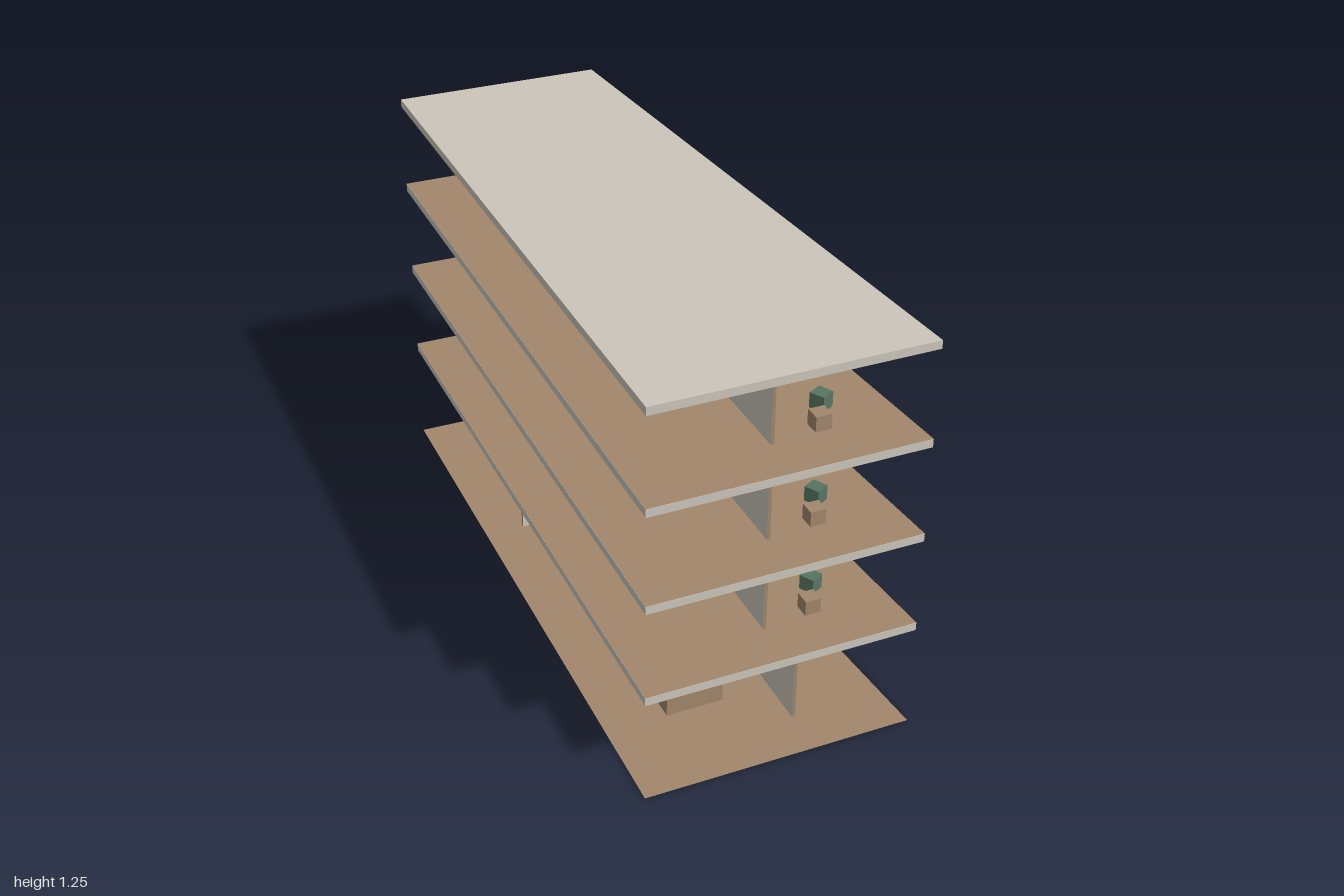
import * as THREE from 'three';

const mat = (name, color, side = THREE.FrontSide) => {
  const m = new THREE.MeshStandardMaterial({ color, side });
  m.name = name;
  return m;
};

export function createModel() {
  const root = new THREE.Group();
  root.name = 'building';
  const concrete = mat('concrete', 0xcbc5bb);
  const wood = mat('wood', 0xa1866a);
  const woodSheet = mat('woodSheet', 0xa1866a, THREE.DoubleSide);
  const green = mat('greenFabric', 0x587463);
  const charcoal = mat('charcoal', 0x45454a);
  const black = mat('blackMetal', 0x202024);

  const add = (name, geometry, material, parent = root) => {
    const mesh = new THREE.Mesh(geometry, material);
    mesh.name = name;
    parent.add(mesh);
    return mesh;
  };
  // Box given by its min and max along each axis
  const box = (name, x0, x1, y0, y1, z0, z1, material, parent) => {
    const mesh = add(name, new THREE.BoxGeometry(x1 - x0, y1 - y0, z1 - z0), material, parent);
    mesh.position.set((x0 + x1) / 2, (y0 + y1) / 2, (z0 + z1) / 2);
    return mesh;
  };
  const group = (name) => {
    const g = new THREE.Group();
    g.name = name;
    root.add(g);
    return g;
  };

  // Tapered floor outline in (x, z), optionally with the stairwell cut out
  const points = (list) => list.map(([x, z]) => new THREE.Vector2(x, -z));
  const outline = (stairwell) => {
    const s = new THREE.Shape(points([[-0.405, 1], [0.405, 1], [0.26, -0.995], [-0.39, -1]]));
    if (stairwell) {
      s.holes.push(new THREE.Path(points([[0.025, -0.47], [0.025, -0.865], [0.25, -0.865], [0.277, -0.47]])));
    }
    return s;
  };
  const sheet = (name, y, stairwell, parent) => {
    const g = new THREE.ShapeGeometry(outline(stairwell)).rotateX(-Math.PI / 2);
    add(name, g, woodSheet, parent).position.y = y;
  };
  const slab = (name, top, stairwell, parent) => {
    const g = new THREE.ExtrudeGeometry(outline(stairwell), { depth: 0.025, bevelEnabled: false });
    add(name, g.rotateX(-Math.PI / 2), concrete, parent).position.y = top - 0.025;
  };

  // Wall with door notches at its base; wooden edges all round
  const wall = (name, axis, a0, a1, at, y0, y1, doors, parent) => {
    const t = 0.01;
    const s = new THREE.Shape();
    s.moveTo(a0, y0);
    for (const [d0, d1] of doors) {
      s.lineTo(d0, y0);
      s.lineTo(d0, y0 + 0.215);
      s.lineTo(d1, y0 + 0.215);
      s.lineTo(d1, y0);
    }
    s.lineTo(a1, y0);
    s.lineTo(a1, y1);
    s.lineTo(a0, y1);
    const g = new THREE.ExtrudeGeometry(s, { depth: t, bevelEnabled: false });
    g.translate(0, 0, -t / 2);
    if (axis === 'z') g.rotateY(-Math.PI / 2);
    const mesh = add(name, g, [concrete, wood], parent);
    if (axis === 'z') mesh.position.x = at;
    else mesh.position.z = at;
  };

  // Two flights with a half landing and handrail pieces
  const stairs = (y0, y1) => {
    const g = group('stairs');
    const mid = y0 + (y0 === 0 ? 0.17 : 0.15);
    const n = 10, zNear = -0.49, zFar = -0.73;
    box('landing', 0.03, 0.262, mid - 0.015, mid, -0.86, -0.72, wood, g);
    const run = (zFar - zNear) / n;
    for (let i = 0; i < n; i++) {
      const z = zNear + run * (i + 0.5);
      const low = y0 + ((mid - y0) * (i + 1)) / n;
      const high = mid + ((y1 - mid) * (n - i)) / n - 0.008;
      box('lowerStep', 0.155, 0.24, low - 0.017, low, z - 0.016, z + 0.016, wood, g);
      box('upperStep', 0.045, 0.135, high - 0.017, high, z - 0.016, z + 0.016, wood, g);
      if (i % 3 === 0) {
        box('lowerHandrail', 0.148, 0.154, low + 0.085, low + 0.09, z - 0.02, z + 0.02, black, g);
        box('upperHandrail', 0.136, 0.142, high + 0.085, high + 0.09, z - 0.02, z + 0.02, black, g);
      }
    }
  };

  // Ground floor
  const ground = group('groundFloor');
  sheet('groundSheet', 0.0008, false, ground);
  wall('longWall', 'z', -0.455, 0.86, 0.115, 0, 0.325, [], ground);
  wall('lobbyWall', 'x', -0.27, 0.01, -0.32, 0, 0.325, [[-0.235, -0.14]], ground);
  wall('stairWall', 'x', 0.02, 0.27, -0.46, 0, 0.325, [[0.145, 0.24]], ground);
  box('receptionDesk', -0.215, -0.04, 0, 0.09, 0.655, 0.715, wood, ground);
  for (const z of [0.494, 0.168, -0.157]) {
    box('lobbyBlock', -0.145, -0.085, 0, 0.147, z - 0.08, z + 0.08, concrete, ground);
  }
  box('woodStool', -0.145, -0.095, 0, 0.045, -0.84, -0.785, wood, ground);
  box('darkStool', -0.235, -0.185, 0, 0.045, -0.84, -0.785, charcoal, ground);
  stairs(0, 0.35);

  // Three identical upper floors with two rooms each
  for (const y of [0.35, 0.65, 0.95]) {
    const g = group('upperFloor');
    const top = y + (y === 0.95 ? 0.27 : 0.275);
    slab('floorSlab', y, true, g);
    sheet('floorBoards', y + 0.001, true, g);
    wall('corridorWall', 'z', -0.315, 0.86, 0.01, y, top, [[-0.28, -0.185], [0.31, 0.405]], g);
    wall('roomDivider', 'x', 0.015, 0.27, 0.275, y, top, [], g);
    wall('rearRoomWall', 'x', 0.015, 0.27, -0.315, y, top, [], g);
    wall('stairWall', 'x', 0.015, 0.27, -0.46, y, top, [[0.145, 0.24]], g);
    box('stairScreen', 0.01, 0.018, y, y + 0.105, -0.86, -0.466, charcoal, g);
    for (const dz of [0, -0.59]) {
      box('bed', 0.088, 0.24, y, y + 0.047, 0.285 + dz, 0.487 + dz, concrete, g);
      box('nightstand', 0.03, 0.076, y, y + 0.047, 0.425 + dz, 0.47 + dz, wood, g);
      box('sideTable', 0.138, 0.185, y, y + 0.047, 0.807 + dz, 0.854 + dz, wood, g);
      box('armchair', 0.188, 0.232, y, y + 0.047, 0.722 + dz, 0.768 + dz, green, g).rotation.y = 0.5;
    }
    if (y < 0.9) stairs(y, y + 0.3);
  }

  slab('roof', 1.245, false, root);
  return root;
}
